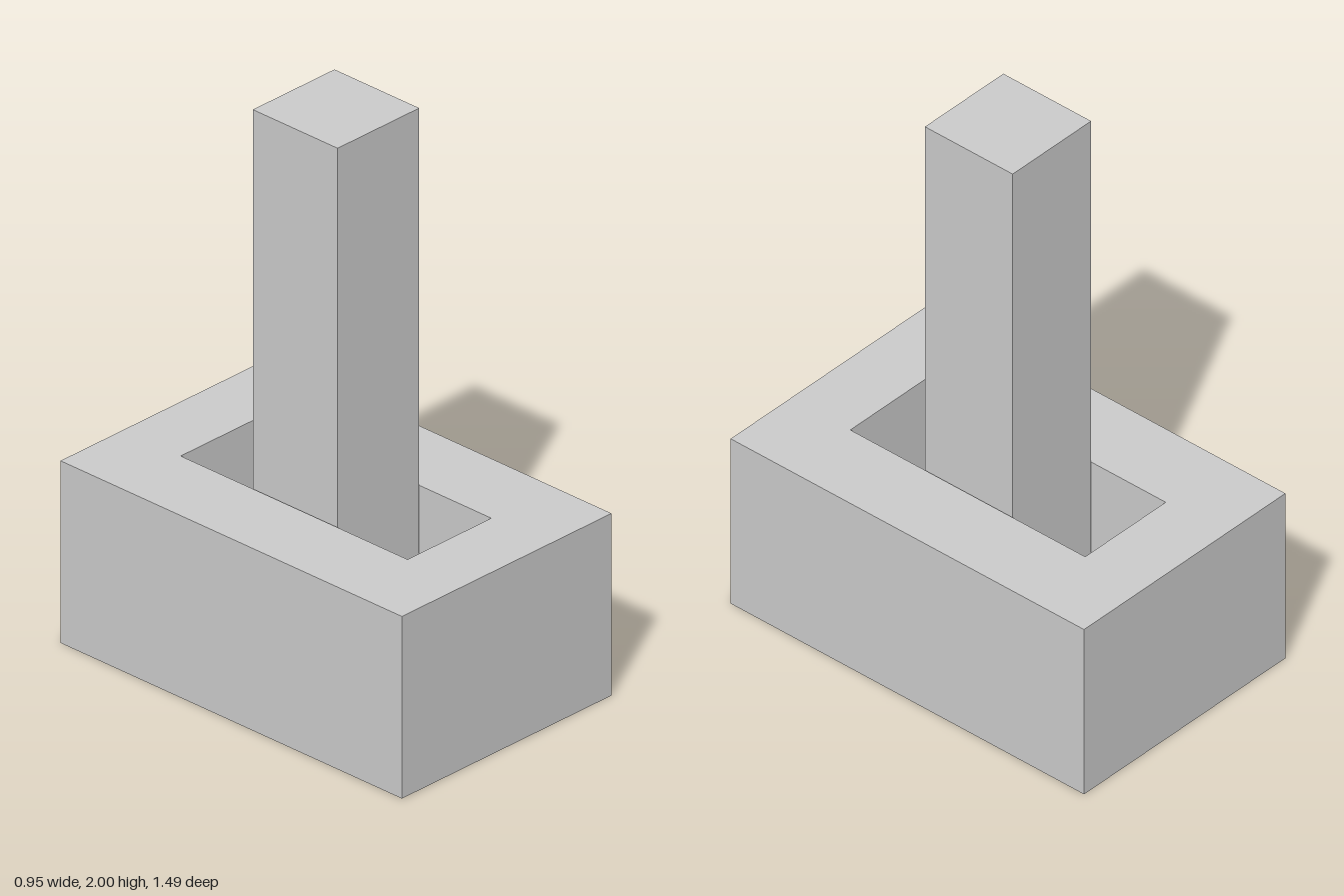
import * as THREE from 'three';

const BASE = { w: 0.95, h: 0.65, d: 1.49 };
const SLOT = { w: 0.38, d: 0.99 };
const FLOOR = 0.2;   // thickness under the slot
const POST = 0.37;   // side of the square post
const TOP = 2;

// Corners of a centred rectangle
function rect(w, d) {
  return [[-1, -1], [1, -1], [1, 1], [-1, 1]].map(([x, y]) => new THREE.Vector2(x * w / 2, y * d / 2));
}

export function createModel() {
  const group = new THREE.Group();
  const material = new THREE.MeshStandardMaterial({ color: 0xcccccc, flatShading: true });

  function add(name, geometry, y, parent) {
    const mesh = new THREE.Mesh(geometry, material);
    mesh.name = name;
    mesh.position.y = y;
    parent.add(mesh);
  }

  // Base block: solid floor with a slotted body above it
  const base = new THREE.Group();
  base.name = 'base';
  group.add(base);
  add('baseFloor', new THREE.BoxGeometry(BASE.w, FLOOR, BASE.d), FLOOR / 2, base);

  const outline = new THREE.Shape(rect(BASE.w, BASE.d));
  outline.holes.push(new THREE.Path(rect(SLOT.w, SLOT.d).reverse()));
  const body = new THREE.ExtrudeGeometry(outline, { depth: BASE.h - FLOOR, bevelEnabled: false });
  body.rotateX(-Math.PI / 2);
  add('slottedBody', body, FLOOR, base);

  // Square post standing in the slot
  add('post', new THREE.BoxGeometry(POST, TOP - FLOOR, POST), (TOP + FLOOR) / 2, group);

  return group;
}
